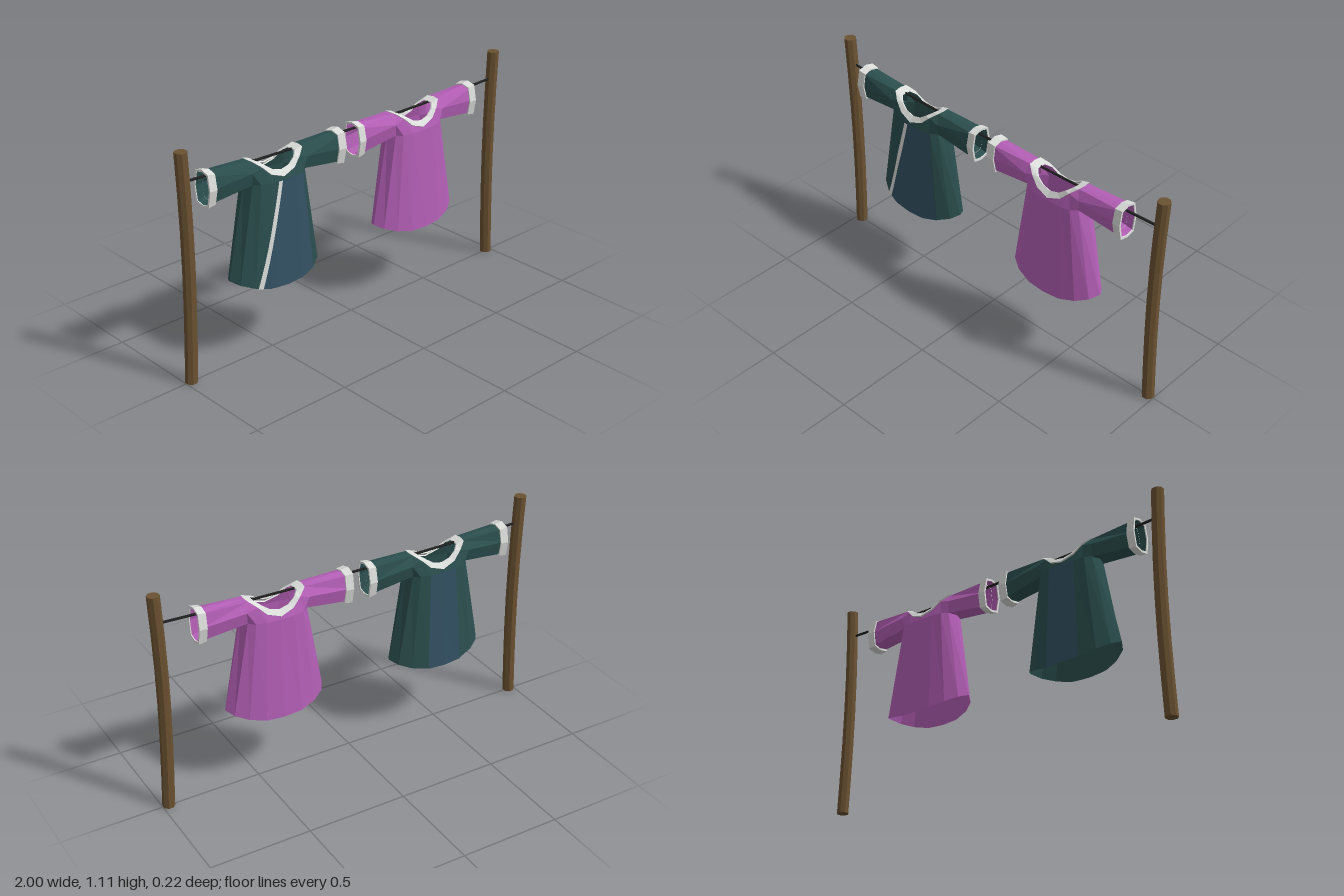
import * as THREE from 'three';

const mat = (name, color) =>
  new THREE.MeshStandardMaterial({ name, color, flatShading: true, side: THREE.DoubleSide });

// Half cross-sections of a robe, from centre front (x = 0) round to the side seam
const CHEST = [[0, 0.865, 0.08], [0.07, 0.865, 0.078], [0.12, 0.865, 0.068], [0.15, 0.867, 0.045], [0.165, 0.868, 0]];
const HEM = [[0, 0.36, 0.105], [0.09, 0.364, 0.1], [0.17, 0.382, 0.08], [0.228, 0.402, 0.045], [0.255, 0.418, 0]];
// Neckline, outer and inner edge of the trim
const NECK = [[0, 0.878, 0.077], [0.065, 0.9, 0.068], [0.105, 0.94, 0.055], [0.14, 0.968, 0.03], [0.145, 0.97, 0]];
const NECK_IN = [[0, 0.905, 0.056], [0.045, 0.915, 0.053], [0.08, 0.94, 0.046], [0.105, 0.958, 0.022], [0.108, 0.958, 0]];
const ARM = [0.158, 0.925, 0.055];

const flip = (p, sx, sz) => [p[0] * sx, p[1], p[2] * sz];
const mix = (a, b, t) => a.map((v, i) => v + (b[i] - v) * t);

// Closed ring of 16 points from a quarter section
function ringOf(half) {
  const r = [];
  for (let i = 0; i < 4; i++) r.push(half[i]);
  for (let i = 4; i > 0; i--) r.push(flip(half[i], 1, -1));
  for (let i = 0; i < 4; i++) r.push(flip(half[i], -1, -1));
  for (let i = 4; i > 0; i--) r.push(flip(half[i], -1, 1));
  return r;
}

// Faceted mesh from polygons of 3 or 4 corners
function facets(polys, name, material) {
  const pos = [];
  for (const p of polys)
    for (let i = 2; i < p.length; i++) pos.push(...p[0], ...p[i - 1], ...p[i]);
  const g = new THREE.BufferGeometry();
  g.setAttribute('position', new THREE.Float32BufferAttribute(pos, 3));
  g.computeVertexNormals();
  const m = new THREE.Mesh(g, material);
  m.name = name;
  return m;
}

function loft(rings, closed = true) {
  const polys = [];
  for (let k = 0; k + 1 < rings.length; k++) {
    const a = rings[k], b = rings[k + 1], n = a.length;
    for (let i = 0; i < (closed ? n : n - 1); i++) {
      const j = (i + 1) % n;
      polys.push([a[i], b[i], b[j], a[j]]);
    }
  }
  return polys;
}

// Point on the skirt: column c in -4..4, v from chest to hem, lifted off the cloth
function skirtPoint(c, v, side, lift) {
  const s = Math.abs(c), i = Math.min(3, Math.floor(s));
  const at = (r) => mix(r[i], r[i + 1], s - i);
  const p = mix(at(CHEST), at(HEM), v);
  return [p[0] * Math.sign(c || 1), p[1], (p[2] + lift) * side];
}

// Thin panel laid over the skirt between two column functions
function panel(left, right, side, lift, cols, name, material) {
  const rows = [];
  for (let k = 0; k <= 8; k++) {
    const v = k / 8, row = [];
    for (let i = 0; i <= cols; i++)
      row.push(skirtPoint(left(v) + (right(v) - left(v)) * i / cols, v, side, lift));
    rows.push(row);
  }
  return facets(loft(rows, false), name, material);
}

// Eight-sided sleeve section at x
const sleeveRing = (x, lo, hi, w) => {
  const h = hi - lo, f = [[0, 0], [0.06, 0.75], [0.5, 1], [0.93, 0.75], [1, 0]];
  const r = f.map(([t, z]) => [x, lo + h * t, z * w]);
  return [...r, ...[3, 2, 1].map((i) => flip(r[i], 1, -1))];
};

function robe(cloth, trim) {
  const g = new THREE.Group();
  g.add(facets(loft([ringOf(CHEST), ringOf(HEM)]), 'skirt', cloth));

  // Yoke between chest and neckline
  const yoke = [];
  for (const sx of [1, -1]) for (const sz of [1, -1]) {
    const q = [
      [CHEST[0], CHEST[1], NECK[1], NECK[0]],
      [CHEST[1], CHEST[2], NECK[2], NECK[1]],
      [CHEST[2], CHEST[3], ARM, NECK[2]],
      [NECK[2], ARM, NECK[3]],
    ];
    for (const p of q) yoke.push(p.map((c) => flip(c, sx, sz)));
  }
  g.add(facets(yoke, 'yoke', cloth));

  // Raised neck trim
  const raise = (r, d) => r.map(([x, y, z]) => [x * 1.02, y + d * 0.6, z + (z ? d : 0)]);
  g.add(facets(loft([NECK, raise(NECK, 0.006), raise(NECK_IN, 0.006), NECK_IN].map(ringOf)), 'neckTrim', trim));

  // Sleeves and cuffs
  for (const s of [1, -1]) {
    const root = [CHEST[4], CHEST[3], ARM, NECK[3], NECK[4]];
    const full = [...root, ...[3, 2, 1].map((i) => flip(root[i], 1, -1))];
    const m = (r) => r.map((p) => flip(p, s, 1));
    g.add(facets(loft([full, sleeveRing(0.385, 0.828, 0.982, 0.05)].map(m)), 'sleeve', cloth));
    g.add(facets(loft([
      sleeveRing(0.35, 0.835, 0.977, 0.05),
      sleeveRing(0.35, 0.824, 0.986, 0.057),
      sleeveRing(0.39, 0.817, 0.992, 0.059),
      sleeveRing(0.39, 0.828, 0.982, 0.049),
    ].map(m)), 'cuff', trim));
  }
  return g;
}

// Places a robe with a slight tilt about its shoulder line
function hang(r, name, x, tilt) {
  const pivot = new THREE.Group();
  pivot.name = name;
  r.position.y = -0.9;
  pivot.add(r);
  pivot.position.set(x, 0.9, 0);
  pivot.rotation.z = tilt;
  return pivot;
}

export function createModel() {
  const model = new THREE.Group();
  model.name = 'clothesline';
  const wood = mat('wood', 0x6b5232), rope = mat('rope', 0x202020);
  const white = mat('whiteTrim', 0xdcdedb), pink = mat('pinkCloth', 0xb45fb6);
  const green = mat('greenCloth', 0x2b4f4e), blue = mat('blueCloth', 0x335163);

  // Bowed posts
  for (const s of [1, -1]) {
    const geo = new THREE.CylinderGeometry(0.03, 0.03, 1.11, 8, 6);
    geo.rotateY(Math.PI / 8);
    geo.translate(0, 0.555, 0);
    const p = geo.attributes.position;
    for (let i = 0; i < p.count; i++)
      p.setX(i, p.getX(i) + s * (0.97 - 0.018 * Math.sin(Math.PI * p.getY(i) / 1.25)));
    geo.computeVertexNormals();
    const post = new THREE.Mesh(geo, wood);
    post.name = s > 0 ? 'leftPost' : 'rightPost';
    model.add(post);
  }

  // Sagging line
  const curve = new THREE.QuadraticBezierCurve3(
    new THREE.Vector3(-0.96, 0.97, 0), new THREE.Vector3(0, 0.935, 0), new THREE.Vector3(0.96, 0.97, 0));
  const line = new THREE.Mesh(new THREE.TubeGeometry(curve, 16, 0.006, 6), rope);
  line.name = 'line';
  model.add(line);

  // Wrapped robe with a diagonal front edge
  const wrapped = robe(green, white);
  const edge = (v) => -0.35 - 1.4 * v;
  wrapped.add(
    panel(edge, () => 2, 1, 0.003, 16, 'frontPanel', blue),
    panel((v) => edge(v) - 0.13, (v) => edge(v) + 0.17, 1, 0.007, 3, 'frontEdge', white),
    panel(() => -1, () => 1, -1, 0.003, 4, 'backPanel', blue));
  model.add(hang(wrapped, 'wrappedRobe', -0.473, -0.018));
  model.add(hang(robe(pink, white), 'pinkRobe', 0.395, 0.018));
  return model;
}
